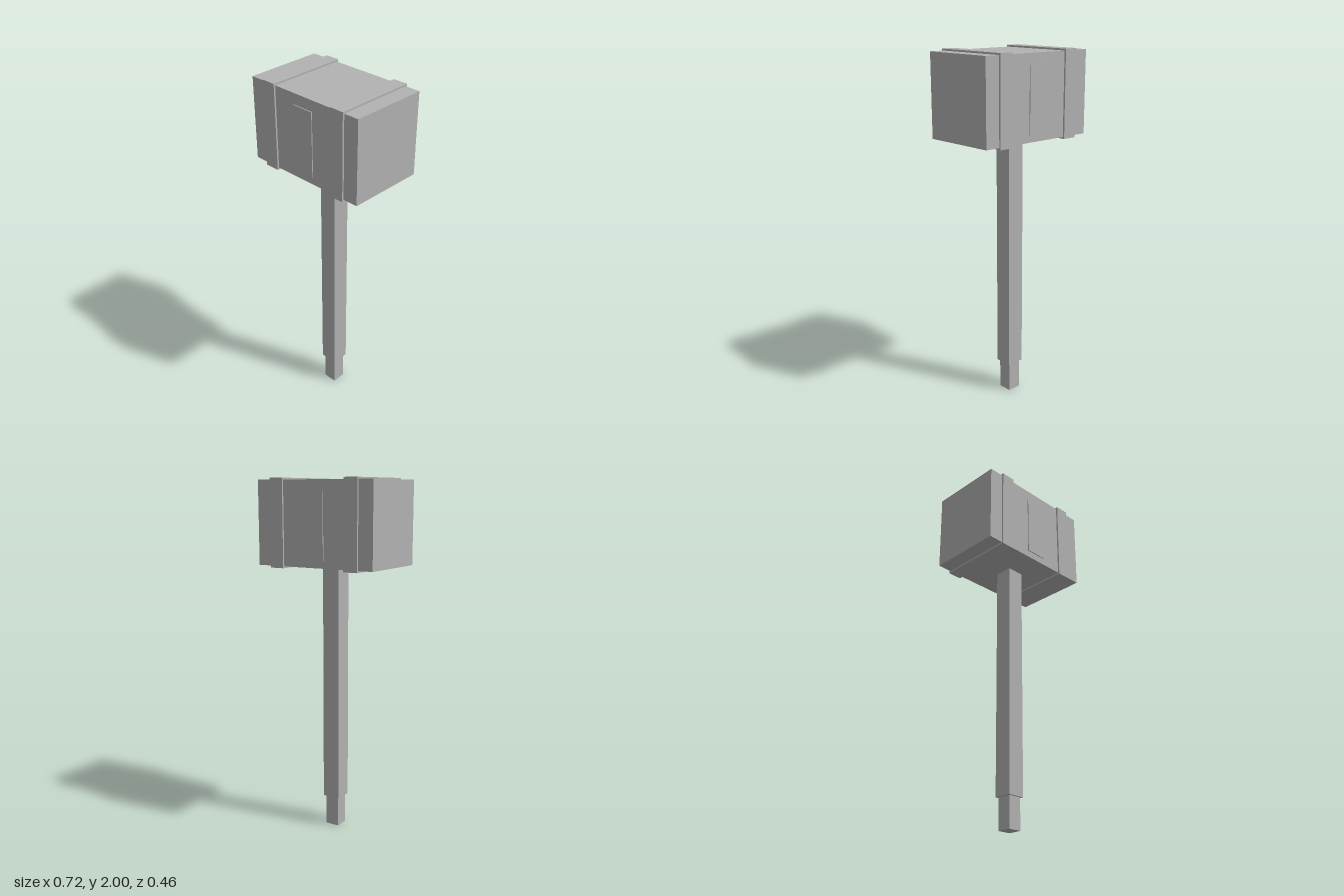
import * as THREE from 'three';

export function createModel() {
  const model = new THREE.Group();
  const grey = new THREE.MeshStandardMaterial({ color: 0xb2b2b2 });
  grey.name = 'plain grey';

  // Box given by x centre, bottom, top, width and depth
  function block(name, x, y0, y1, width, depth, z = 0) {
    const mesh = new THREE.Mesh(new THREE.BoxGeometry(width, y1 - y0, depth), grey);
    mesh.name = name;
    mesh.position.set(x, (y0 + y1) / 2, z);
    model.add(mesh);
  }

  // Handle with a narrower grip end
  block('gripEnd', 0, 0, 0.178, 0.08, 0.08);
  block('handle', 0, 0.175, 1.535, 0.102, 0.102);

  // Hammer head
  block('head', 0, 1.53, 1.99, 0.724, 0.438);

  // Bands around the head, mirrored left and right
  for (const side of [1, -1]) {
    block(side > 0 ? 'leftBand' : 'rightBand', side * 0.234, 1.52, 2, 0.083, 0.458);
  }

  // Thin raised plates on the front and back of the head
  for (const side of [1, -1]) {
    block(side > 0 ? 'frontPlate' : 'backPlate', 0, 1.57, 1.93, 0.126, 0.008, side * 0.22);
  }

  return model;
}
